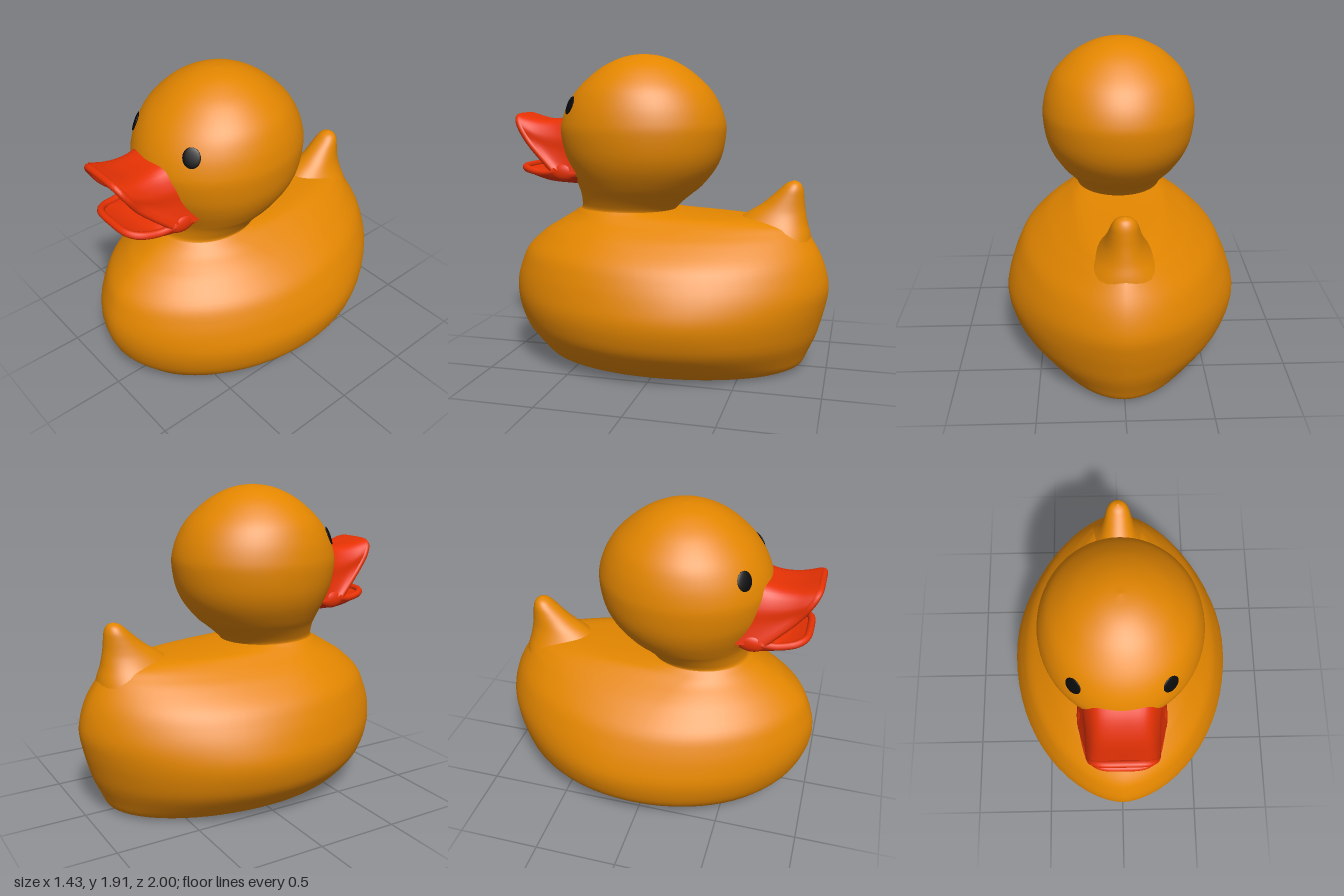
import * as THREE from 'three';

const V = (a) => new THREE.Vector3(...a);
const spline = (pts) => new THREE.CatmullRomCurve3(pts.map(V), false, 'catmullrom', 0.5);

// Smooth skin over a grid of points; closed joins the last column to the first.
function gridGeometry(rows, closed) {
  const n = rows[0].length, index = [];
  for (let i = 0; i < rows.length - 1; i++) {
    for (let j = 0; j < (closed ? n : n - 1); j++) {
      const a = i * n + j, b = i * n + (j + 1) % n;
      index.push(a, b, a + n, b, b + n, a + n);
    }
  }
  const g = new THREE.BufferGeometry();
  g.setAttribute('position', new THREE.Float32BufferAttribute(rows.flat().flatMap((p) => [p.x, p.y, p.z]), 3));
  g.setIndex(index);
  g.computeVertexNormals();
  return g;
}

// Horizontal ring; k = 0 is an ellipse, k = 1 has slightly narrowed ends.
function ring(y, w, zc, zf, zb, k, n = 64) {
  return Array.from({ length: n }, (_, j) => {
    const a = (j / n) * Math.PI * 2, c = Math.cos(a), s = Math.sin(a);
    const x = Math.sign(s) * w * Math.pow(Math.abs(s), 1 + 0.16 * k);
    return new THREE.Vector3(x, y, zc + (c > 0 ? zf - zc : zc - zb) * c);
  });
}

// Stacked rings, keys are [y, halfWidth, zCentre, zFront, zBack, narrowing].
function loft(keys, steps) {
  const A = spline(keys.map((k) => k.slice(0, 3)));
  const B = spline(keys.map((k) => k.slice(3, 6)));
  const rows = [];
  for (let i = 0; i <= steps; i++) {
    const a = A.getPoint(i / steps), b = B.getPoint(i / steps);
    rows.push(ring(a.x, Math.max(a.y, 0), a.z, b.x, b.y, b.z));
  }
  return rows;
}

// Full curve from its +x half (centre first).
const mirrored = (half) => spline([...half.slice(1).reverse().map(([x, y, z]) => [-x, y, z]), ...half]);

// Surface running through several mirrored curves.
function skin(halves, n = 40, m = 12) {
  const curves = halves.map(mirrored);
  const cols = [];
  for (let j = 0; j <= n; j++) {
    const across = new THREE.CatmullRomCurve3(curves.map((c) => c.getPoint(j / n)), false, 'catmullrom', 0.5);
    cols.push(across.getPoints(m));
  }
  return gridGeometry(cols, false);
}

export function createModel() {
  const group = new THREE.Group();
  const orange = new THREE.MeshStandardMaterial({ color: 0xe38600, name: 'orange' });
  const red = new THREE.MeshStandardMaterial({ color: 0xe83204, name: 'red', side: THREE.DoubleSide });
  const black = new THREE.MeshStandardMaterial({ color: 0x0a0a0a, name: 'black' });
  const add = (name, geo, mat) => {
    const m = new THREE.Mesh(geo, mat);
    m.name = name;
    group.add(m);
    return m;
  };

  // Body, with a faint wing swelling on each flank
  const bodyRows = loft([
    [0, 0.43, 0, 0.74, -0.80, 0.3],
    [0.03, 0.49, 0, 0.79, -0.85, 0.5],
    [0.1, 0.575, 0, 0.85, -0.885, 0.8],
    [0.2, 0.663, 0, 0.93, -0.93, 1],
    [0.3, 0.70, 0, 0.975, -0.96, 1],
    [0.4, 0.71, 0, 0.998, -0.985, 1],
    [0.5, 0.69, 0, 0.998, -1, 1],
    [0.6, 0.655, 0.02, 0.97, -0.985, 1],
    [0.7, 0.60, 0.05, 0.92, -0.95, 1],
    [0.8, 0.49, 0.1, 0.81, -0.895, 1],
    [0.85, 0.42, 0.15, 0.73, -0.86, 1],
    [0.89, 0.355, 0.19, 0.665, -0.81, 1],
    [0.92, 0.31, 0.24, 0.615, -0.64, 0.7],
    [0.938, 0.285, 0.26, 0.59, -0.28, 0.3],
    [0.955, 0.265, 0.26, 0.57, -0.04, 0],
  ], 60);
  bodyRows.flat().forEach((p) => {
    const d = ((p.z + 0.25) / 0.28) ** 2 + ((p.y - 0.4) / 0.17) ** 2;
    p.x += Math.sign(p.x) * 0.012 * Math.exp(-d) * Math.min(1, Math.abs(p.x) * 4);
  });
  add('body', gridGeometry(bodyRows, true), orange);

  // Flat underside with its small air hole
  const base = [ring(0, 0, 0, 0, 0, 0), ring(0, 0.43, 0, 0.74, -0.80, 0.3)];
  add('underside', gridGeometry(base, true), orange);
  const hole = add('airHole', new THREE.CircleGeometry(0.035, 16), black);
  hole.rotation.x = Math.PI / 2;
  hole.position.y = -0.002;

  // Upturned tail, flaring where it meets the back
  add('tail', gridGeometry(loft([
    [0.72, 0.28, -0.64, -0.36, -0.90, 0],
    [0.82, 0.21, -0.64, -0.38, -0.885, 0],
    [0.89, 0.155, -0.66, -0.42, -0.865, 0],
    [0.95, 0.12, -0.68, -0.50, -0.853, 0],
    [1.0, 0.10, -0.71, -0.58, -0.845, 0],
    [1.05, 0.085, -0.74, -0.64, -0.84, 0],
    [1.1, 0.07, -0.765, -0.695, -0.833, 0],
    [1.135, 0.045, -0.775, -0.735, -0.815, 0],
    [1.152, 0, -0.78, -0.78, -0.78, 0],
  ], 32), true), orange);

  // Head, narrowing into the neck
  add('head', gridGeometry(loft([
    [0.935, 0.275, 0.26, 0.575, -0.03, 0],
    [0.96, 0.265, 0.25, 0.558, -0.05, 0],
    [1.0, 0.285, 0.235, 0.555, -0.09, 0],
    [1.05, 0.32, 0.21, 0.56, -0.15, 0],
    [1.1, 0.36, 0.19, 0.575, -0.21, 0],
    [1.2, 0.42, 0.17, 0.62, -0.29, 0],
    [1.3, 0.455, 0.16, 0.66, -0.335, 0],
    [1.42, 0.47, 0.16, 0.68, -0.355, 0],
    [1.5, 0.465, 0.16, 0.67, -0.35, 0],
    [1.6, 0.44, 0.16, 0.63, -0.315, 0],
    [1.7, 0.39, 0.16, 0.56, -0.25, 0],
    [1.8, 0.29, 0.16, 0.45, -0.14, 0],
    [1.86, 0.19, 0.155, 0.35, -0.04, 0],
    [1.893, 0.10, 0.155, 0.255, 0.055, 0],
    [1.906, 0, 0.155, 0.155, 0.155, 0],
  ], 60), true), orange);

  // Upper beak: arched top blending into a rolled lip, with a hollow underside
  const upperLip = [[0, 1.522, 0.945], [0.13, 1.512, 0.94], [0.175, 1.45, 0.905], [0.185, 1.35, 0.835], [0.232, 1.2, 0.675]];
  const mouthBack = [[0, 1.2, 0.69], [0.06, 1.2, 0.69], [0.12, 1.2, 0.688], [0.18, 1.2, 0.683], [0.232, 1.2, 0.675]];
  add('upperBeak', skin([
    [[0, 1.525, 0.62], [0.145, 1.515, 0.60], [0.215, 1.41, 0.57], [0.24, 1.3, 0.53], [0.265, 1.18, 0.49]],
    [[0, 1.505, 0.72], [0.135, 1.495, 0.71], [0.2, 1.41, 0.68], [0.222, 1.31, 0.63], [0.258, 1.185, 0.56]],
    [[0, 1.51, 0.83], [0.138, 1.50, 0.82], [0.194, 1.425, 0.79], [0.21, 1.33, 0.73], [0.257, 1.19, 0.61]],
    upperLip.map(([x, y, z]) => [x * 1.1, y + 0.018, z - 0.01]),
  ]), red);
  add('upperLip', new THREE.TubeGeometry(mirrored(upperLip), 64, 0.022, 10), red);
  add('palate', skin([
    upperLip,
    [[0, 1.42, 0.80], [0.1, 1.41, 0.80], [0.15, 1.37, 0.80], [0.175, 1.29, 0.765], [0.232, 1.2, 0.675]],
    [[0, 1.30, 0.715], [0.08, 1.295, 0.715], [0.13, 1.28, 0.72], [0.175, 1.24, 0.715], [0.232, 1.2, 0.675]],
    mouthBack,
  ]), red);

  // Lower beak: rounded underside, rolled rim and a shallow floor
  const lowerLip = [[0, 1.208, 0.912], [0.12, 1.205, 0.903], [0.185, 1.193, 0.85], [0.215, 1.18, 0.75], [0.232, 1.19, 0.655]];
  add('lowerBeak', skin([
    lowerLip.map(([x, y, z]) => [x * 1.06, y - 0.016, z + 0.006]),
    [[0, 1.125, 0.76], [0.08, 1.125, 0.75], [0.15, 1.125, 0.72], [0.215, 1.135, 0.66], [0.25, 1.165, 0.59]],
    [[0, 1.1, 0.53], [0.07, 1.1, 0.53], [0.14, 1.11, 0.52], [0.2, 1.13, 0.51], [0.25, 1.16, 0.49]],
  ]), red);
  add('lowerLip', new THREE.TubeGeometry(mirrored(lowerLip), 64, 0.022, 10), red);
  add('mouthFloor', skin([
    lowerLip,
    [[0, 1.178, 0.8], [0.08, 1.178, 0.795], [0.15, 1.178, 0.77], [0.195, 1.178, 0.72], [0.232, 1.195, 0.665]],
    mouthBack,
  ]), red);

  // Mouth corners and eyes
  for (const s of [1, -1]) {
    const side = s > 0 ? 'left' : 'right';
    const corner = add(side + 'MouthCorner', new THREE.SphereGeometry(1, 24, 16), red);
    corner.scale.set(0.034, 0.055, 0.085);
    corner.position.set(s * 0.226, 1.187, 0.605);

    const eye = add(side + 'Eye', new THREE.SphereGeometry(1, 24, 12), black);
    eye.scale.set(0.05, 0.058, 0.009);
    eye.position.set(s * 0.258, 1.595, 0.546);
    eye.lookAt(s * (0.258 + 1.18), 1.595 + 0.72, 0.546 + 1.4);
  }
  return group;
}
